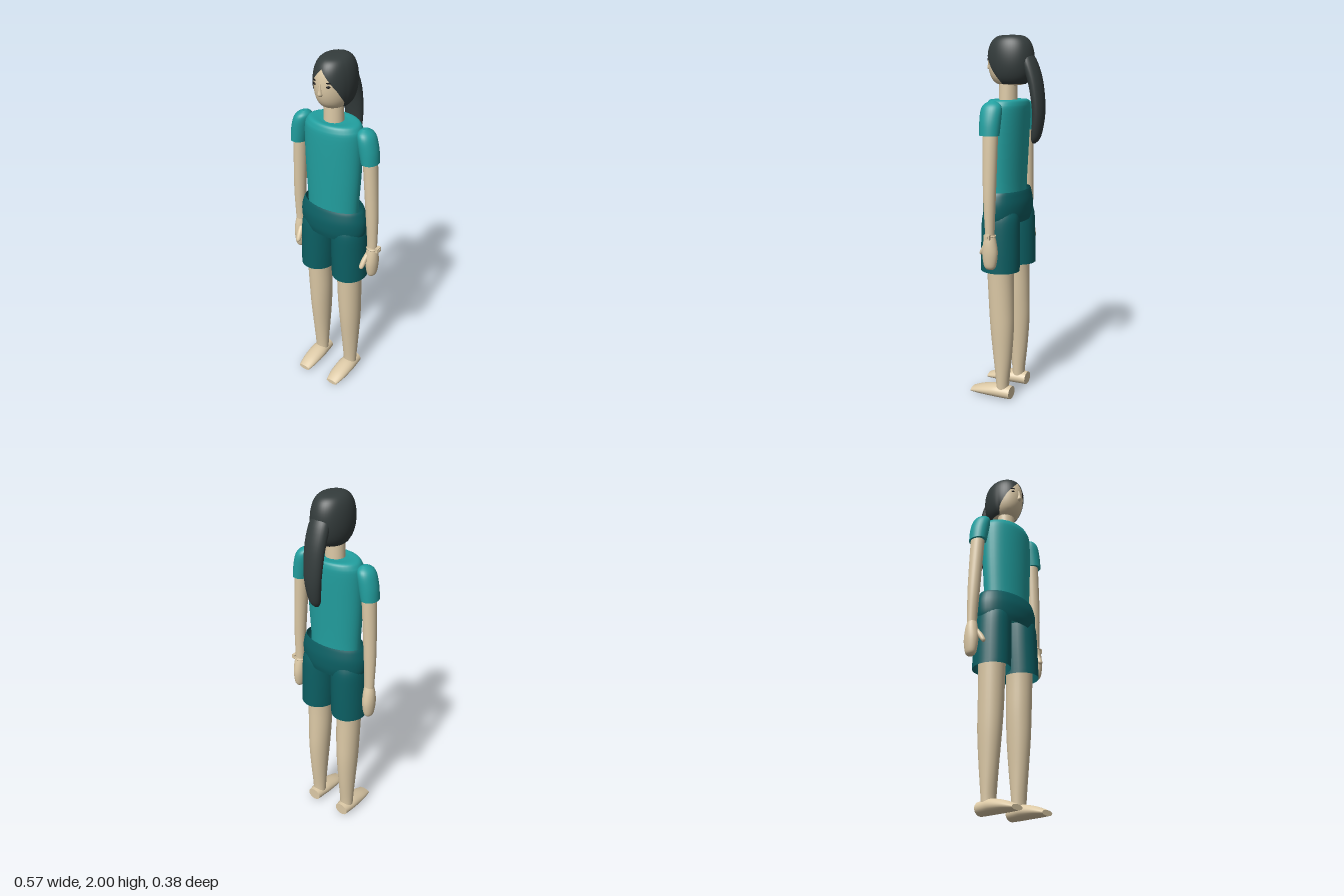
import * as THREE from 'three';

const mat = (name, color, side = THREE.FrontSide) => {
  const m = new THREE.MeshStandardMaterial({ color, side });
  m.name = name;
  return m;
};

// Smooth interpolation along a short list of cross-sections
function refine(rings, steps) {
  const out = [], last = rings.length - 1;
  for (let i = 0; i < last; i++) {
    const [a, b, c, d] = [i - 1, i, i + 1, i + 2].map(k => rings[Math.min(last, Math.max(0, k))]);
    for (let s = 0; s < steps; s++) {
      const t = s / steps;
      out.push(b.map((v, k) => 0.5 * (2 * v + (c[k] - a[k]) * t
        + (2 * a[k] - 5 * v + 4 * c[k] - d[k]) * t * t
        + (3 * v - a[k] - 3 * c[k] + d[k]) * t * t * t)));
    }
  }
  out.push(rings[last]);
  return out;
}

// Elliptical loft through rings [x, y, z, rx, rz], listed from low y to high y
function loft(list, capped = true, n = 28, steps = 4) {
  const rings = refine(list, steps), pos = [], idx = [];
  const addRing = ([x, y, z, rx, rz]) => {
    const start = pos.length / 3;
    for (let j = 0; j < n; j++) {
      const a = j / n * Math.PI * 2;
      pos.push(x + rx * Math.cos(a), y, z + rz * Math.sin(a));
    }
    return start;
  };
  rings.forEach(addRing);
  for (let i = 0; i < rings.length - 1; i++) for (let j = 0; j < n; j++) {
    const k = (j + 1) % n, p = i * n + j, q = i * n + k;
    idx.push(p, p + n, q, q, p + n, q + n);
  }
  if (capped) [rings[0], rings[rings.length - 1]].forEach((r, top) => {
    const s = addRing(r), c = pos.length / 3;
    pos.push(r[0], r[1], r[2]);
    for (let j = 0; j < n; j++) {
      const k = (j + 1) % n;
      if (top) idx.push(c, s + k, s + j); else idx.push(c, s + j, s + k);
    }
  });
  return toGeometry(pos, idx);
}

function toGeometry(pos, idx) {
  const g = new THREE.BufferGeometry();
  g.setAttribute('position', new THREE.Float32BufferAttribute(pos, 3));
  g.setIndex(idx);
  g.computeVertexNormals();
  return g;
}

// Rounded skull surface, cut off at polar angle edge(degrees from the front)
function skull(sx, sy, sz, edge, n = 48, rows = 24) {
  const pos = [], idx = [];
  for (let i = 0; i <= rows; i++) for (let j = 0; j < n; j++) {
    const a = j / n * Math.PI * 2, deg = Math.min(a, Math.PI * 2 - a) * 180 / Math.PI;
    const p = edge(deg) * Math.pow(i / rows, 1.3);
    const r = Math.sqrt(Math.abs(Math.sin(p)));
    pos.push(sx * r * Math.sin(a), 1.87 + sy * Math.cos(p), sz * r * Math.cos(a));
  }
  for (let i = 0; i < rows; i++) for (let j = 0; j < n; j++) {
    const k = (j + 1) % n, p = i * n + j, q = i * n + k;
    idx.push(p, p + n, q, q, p + n, q + n);
  }
  return toGeometry(pos, idx);
}

// Parted hairline: high in the middle of the brow, falling past the cheeks
function hairline(deg) {
  const pts = [[0, 0.86], [25, 1.3], [45, 1.67], [67, 2.23], [75, 2.75], [180, 2.75]];
  const i = Math.max(1, pts.findIndex(p => p[0] >= deg - 1e-6));
  const [a, b] = [pts[i - 1], pts[i]];
  return a[1] + (b[1] - a[1]) * (deg - a[0]) / (b[0] - a[0]);
}

export function createModel() {
  const skin = mat('skin', 0xdcc9a6);
  const teal = mat('shirt teal', 0x22a0a0);
  const dark = mat('shorts teal', 0x0c5f63, THREE.DoubleSide);
  const hair = mat('hair charcoal', 0x343c3c, THREE.DoubleSide);
  const ink = mat('eye black', 0x1c1a1a);

  const model = new THREE.Group();
  model.name = 'standingFigure';
  const body = new THREE.Group();
  body.name = 'body';
  body.position.x = -0.007;
  model.add(body);
  const add = (name, geometry, material) => {
    const m = new THREE.Mesh(geometry, material);
    m.name = name;
    body.add(m);
    return m;
  };

  // Torso
  add('shirt', loft([
    [0, 1.05, 0.02, 0.15, 0.093], [0, 1.19, 0.022, 0.152, 0.093],
    [0, 1.4, 0.02, 0.163, 0.1], [0, 1.6, 0.016, 0.167, 0.106],
    [0, 1.65, 0.013, 0.155, 0.102], [0, 1.67, 0.012, 0.13, 0.09],
    [0, 1.668, 0.014, 0.075, 0.06],
  ], true, 40), teal);
  add('waistband', loft([
    [0, 1.02, 0.016, 0.186, 0.106], [0, 1.06, 0.016, 0.198, 0.115],
    [0, 1.12, 0.016, 0.2, 0.117], [0, 1.17, 0.015, 0.188, 0.108],
    [0, 1.19, 0.014, 0.178, 0.102],
  ], false, 40), dark);

  // Neck and head
  add('neck', loft([[0, 1.63, 0.016, 0.054, 0.05], [0, 1.78, 0.016, 0.05, 0.047]]), skin);
  add('head', skull(0.095, 0.128, 0.127, () => Math.PI), skin);
  add('nose', loft([
    [0, 1.824, 0.123, 0.007, 0.006], [0, 1.834, 0.125, 0.012, 0.015],
    [0, 1.855, 0.125, 0.008, 0.011], [0, 1.89, 0.124, 0.005, 0.005],
  ], true, 12), skin);
  add('hair', skull(0.101, 0.13, 0.13, hairline), hair);
  add('ponytail', loft([
    [0, 1.442, -0.135, 0.01, 0.008], [0, 1.48, -0.147, 0.033, 0.026],
    [0, 1.6, -0.162, 0.05, 0.031], [0, 1.75, -0.145, 0.058, 0.036],
    [0, 1.86, -0.108, 0.058, 0.04], [0, 1.92, -0.08, 0.04, 0.03],
  ]), hair);

  for (const s of [1, -1]) {
    const side = s > 0 ? 'left' : 'right';
    const limb = (name, rings, material, capped) =>
      add(side + name, loft(rings.map(([x, ...r]) => [s * x, ...r]), capped), material);

    // Eye and eyebrow
    const eye = add(side + 'Eye', new THREE.SphereGeometry(1, 14, 10), ink);
    eye.scale.set(0.01, 0.0065, 0.004);
    eye.position.set(s * 0.04, 1.877, 0.115);
    eye.rotation.y = s * 0.55;
    const brow = add(side + 'Eyebrow', new THREE.BoxGeometry(0.024, 0.004, 0.006), ink);
    brow.position.set(s * 0.042, 1.896, 0.114);
    brow.rotation.y = s * 0.55;

    // Sleeve and arm
    limb('Sleeve', [
      [0.222, 1.495, 0.015, 0.045, 0.054], [0.212, 1.56, 0.015, 0.049, 0.057],
      [0.199, 1.62, 0.015, 0.046, 0.057], [0.19, 1.65, 0.015, 0.036, 0.045],
      [0.185, 1.667, 0.015, 0.012, 0.016],
    ], teal);
    limb('Arm', [
      [0.242, 0.95, 0.004, 0.027, 0.024], [0.242, 1.03, 0.005, 0.029, 0.026],
      [0.237, 1.2, 0.008, 0.034, 0.034], [0.219, 1.5, 0.011, 0.037, 0.041],
      [0.21, 1.58, 0.013, 0.035, 0.04],
    ], skin);

    // Hand and thumb
    limb('Hand', [
      [0.246, 0.795, 0.003, 0.014, 0.02], [0.246, 0.815, 0.003, 0.026, 0.034],
      [0.245, 0.88, 0.003, 0.034, 0.043], [0.244, 0.94, 0.004, 0.033, 0.036],
      [0.242, 0.985, 0.005, 0.027, 0.025],
    ], skin);
    limb('Thumb', [
      [0.218, 0.862, 0.068, 0.007, 0.007], [0.218, 0.875, 0.064, 0.014, 0.014],
      [0.222, 0.91, 0.044, 0.015, 0.016], [0.228, 0.945, 0.02, 0.012, 0.014],
    ], skin);

    // Shorts leg, bare leg and foot
    limb('ShortsLeg', [
      [0.106, 0.755, 0.013, 0.098, 0.108], [0.102, 0.9, 0.013, 0.099, 0.107],
      [0.098, 1.03, 0.013, 0.096, 0.104], [0.092, 1.08, 0.013, 0.088, 0.095],
    ], dark, false);
    limb('Leg', [
      [0.106, 0.05, 0, 0.04, 0.036], [0.106, 0.1, 0, 0.042, 0.037],
      [0.106, 0.25, 0, 0.05, 0.053], [0.105, 0.42, 0.003, 0.06, 0.067],
      [0.103, 0.57, 0.008, 0.066, 0.071], [0.103, 0.75, 0.013, 0.07, 0.074],
      [0.1, 0.95, 0.013, 0.08, 0.085],
    ], skin);
    const foot = limb('Foot', [
      [0.107, -0.055, -0.038, 0.042, 0.036], [0.107, 0, -0.039, 0.048, 0.038],
      [0.106, 0.05, -0.038, 0.052, 0.037], [0.105, 0.13, -0.028, 0.048, 0.027],
      [0.104, 0.192, -0.016, 0.036, 0.014],
    ], skin);
    foot.geometry.rotateX(Math.PI / 2);
  }

  // Wristwatch on the left arm
  const strap = add('watchStrap', new THREE.TorusGeometry(0.029, 0.004, 8, 28), skin);
  strap.rotation.x = Math.PI / 2;
  strap.position.set(0.244, 0.975, 0.004);
  add('watchFace', new THREE.BoxGeometry(0.018, 0.026, 0.034), skin).position.set(0.279, 0.975, 0.002);
  add('watchButton', new THREE.BoxGeometry(0.008, 0.012, 0.016), skin).position.set(0.288, 0.975, 0.002);
  return model;
}
